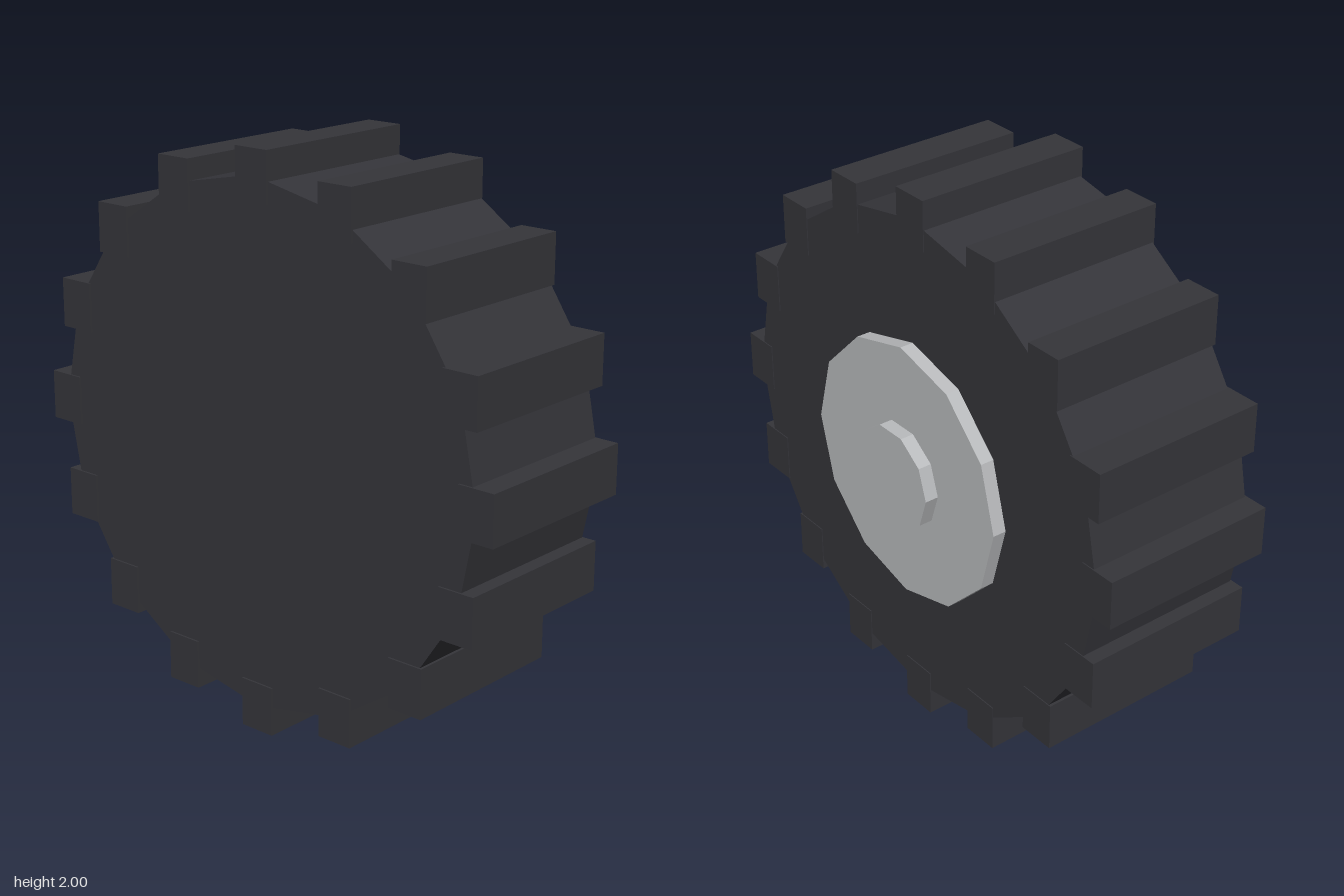
import * as THREE from 'three';

const AXLE_Y = 1;

export function createModel() {
  const rubber = new THREE.MeshStandardMaterial({ color: 0x35353a, flatShading: true });
  rubber.name = 'dark rubber';
  const metal = new THREE.MeshStandardMaterial({ color: 0xbabcbe, flatShading: true });
  metal.name = 'light metal';

  const wheel = new THREE.Group();
  wheel.name = 'wheel';

  // Faceted disc lying along z between two depths
  function disc(name, radius, sides, zBack, zFront, material, start = 0) {
    const geometry = new THREE.CylinderGeometry(radius, radius, zFront - zBack, sides, 1, false, start);
    geometry.rotateX(Math.PI / 2);
    const mesh = new THREE.Mesh(geometry, material);
    mesh.name = name;
    mesh.position.set(0, AXLE_Y, (zBack + zFront) / 2);
    wheel.add(mesh);
  }

  disc('tyre', 0.912, 16, -0.272, 0.363, rubber);
  disc('hubPlate', 0.475, 12, -0.321, -0.26, metal);
  disc('hubCap', 0.187, 10, -0.37, -0.31, metal, Math.PI / 2);

  // Upright tread blocks, one on each corner of the tyre
  const treads = new THREE.Group();
  treads.name = 'treads';
  const blockGeometry = new THREE.BoxGeometry(0.136, 0.174, 0.645);
  for (let i = 0; i < 16; i++) {
    const angle = (i / 16) * Math.PI * 2;
    const block = new THREE.Mesh(blockGeometry, rubber);
    block.name = 'treadBlock';
    block.position.set(Math.sin(angle) * 0.912, AXLE_Y + Math.cos(angle) * 0.912, 0.047);
    treads.add(block);
  }
  wheel.add(treads);

  return wheel;
}
